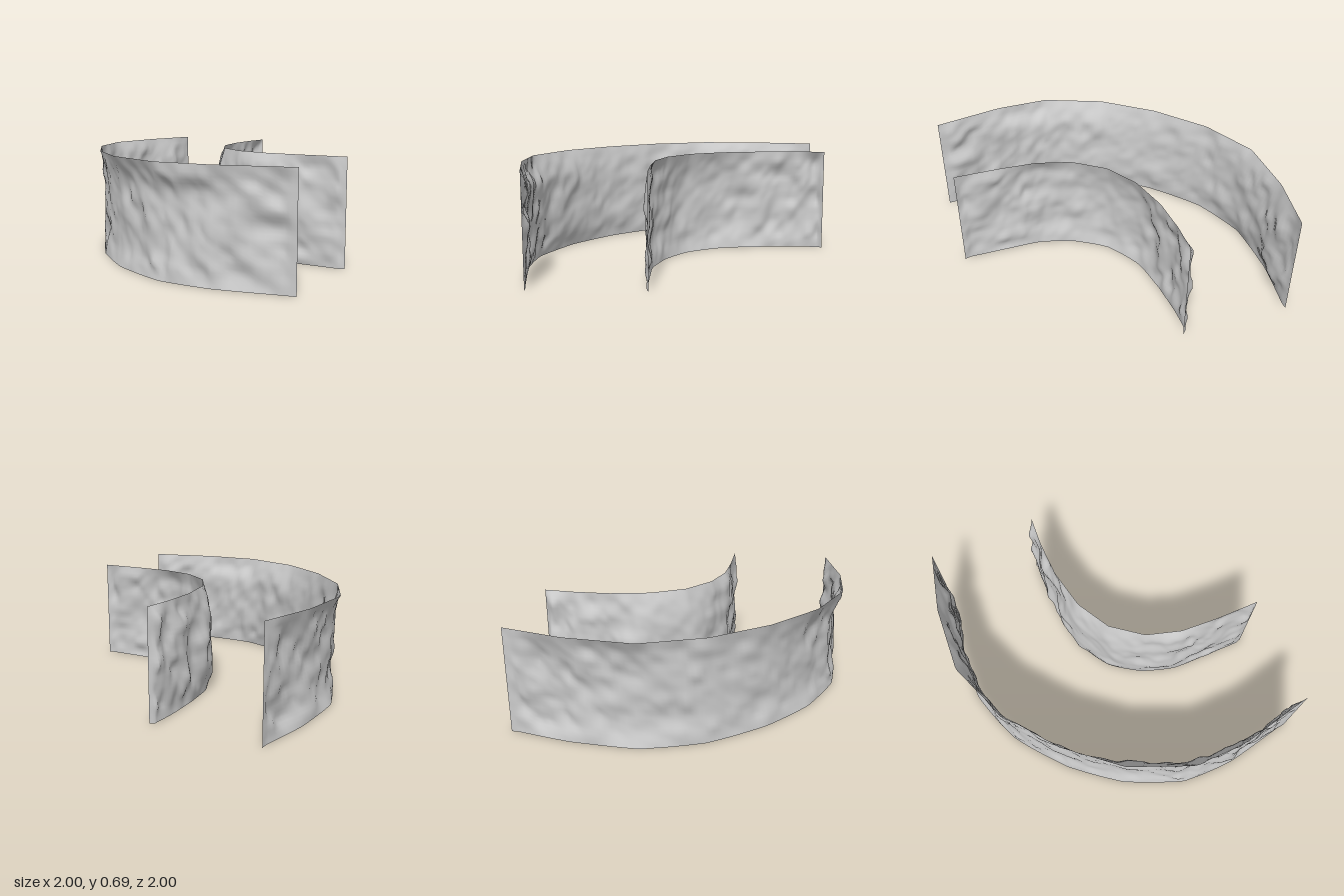
import * as THREE from 'three';

const HEIGHT = 0.695;
const COLS = 110;
const ROWS = 30;

// Seeded lattice value in -1..1
function hash(i, j, seed) {
  const s = Math.sin(i * 127.1 + j * 311.7 + seed * 74.7) * 43758.5453;
  return 2 * (s - Math.floor(s)) - 1;
}

// Smooth value noise
function noise(x, y, seed) {
  const i = Math.floor(x), j = Math.floor(y);
  const ease = (t) => t * t * (3 - 2 * t);
  const fx = ease(x - i), fy = ease(y - j);
  const low = THREE.MathUtils.lerp(hash(i, j, seed), hash(i + 1, j, seed), fx);
  const high = THREE.MathUtils.lerp(hash(i, j + 1, seed), hash(i + 1, j + 1, seed), fx);
  return THREE.MathUtils.lerp(low, high, fy);
}

const toVectors = (points) => points.map(([x, z]) => new THREE.Vector2(x, z));

// Point on a coarse straight-sided outline
function alongPolyline(points, u) {
  const t = u * (points.length - 1);
  const i = Math.min(Math.floor(t), points.length - 2);
  return points[i].clone().lerp(points[i + 1], t - i);
}

// Rock sheet: clean rim, foot and upright ends, rough face in between
function rockWall(name, { middle, rim, foot, rough, seed }) {
  const rimPoints = toVectors(rim);
  const midCurve = new THREE.SplineCurve(toVectors(middle));
  const length = midCurve.getLength();
  const positions = [], uvs = [], indices = [];

  for (let c = 0; c <= COLS; c++) {
    const u = c / COLS;
    const mid = midCurve.getPoint(u);
    const edge = alongPolyline(rimPoints, u);
    const tangent = midCurve.getTangent(u);
    const normal = new THREE.Vector2(-tangent.y, tangent.x);
    const endFade = Math.min(1, u * 30, (1 - u) * 30);
    // The bend is smoother than the two arms
    const relief = rough * endFade * (0.55 + 0.65 * Math.abs(2 * u - 1));

    for (let r = 0; r <= ROWS; r++) {
      const v = r / ROWS;
      const y = v * HEIGHT;
      const toRim = Math.pow(Math.max(0, (v - 0.65) / 0.35), 1.6);
      const toFoot = foot * Math.pow(Math.max(0, 1 - v / 0.3), 1.6);
      const edgeFade = Math.min(1, v * 8, (1 - v) * 8);
      const s = u * length + y * 0.1;
      const bump = 0.75 * noise(s * 7, y * 6, seed)
        + 0.5 * noise(s * 13, y * 11, seed + 3)
        + 0.15 * noise(s * 24, y * 20, seed + 7);
      const p = mid.clone().lerp(edge, Math.max(toRim + toFoot, 1 - endFade));
      p.addScaledVector(normal, bump * relief * edgeFade);
      positions.push(p.x, y, p.y);
      uvs.push(u, v);
    }
  }

  for (let c = 0; c < COLS; c++) {
    for (let r = 0; r < ROWS; r++) {
      const a = c * (ROWS + 1) + r, b = a + ROWS + 1;
      indices.push(a, b, a + 1, b, b + 1, a + 1);
    }
  }

  const geometry = new THREE.BufferGeometry();
  geometry.setAttribute('position', new THREE.Float32BufferAttribute(positions, 3));
  geometry.setAttribute('uv', new THREE.Float32BufferAttribute(uvs, 2));
  geometry.setIndex(indices);
  geometry.computeVertexNormals();
  const material = new THREE.MeshStandardMaterial({ color: 0xcccccc, side: THREE.DoubleSide });
  const mesh = new THREE.Mesh(geometry, material);
  mesh.name = name;
  return mesh;
}

export function createModel() {
  const group = new THREE.Group();
  group.name = 'curvedRockWalls';

  // Long wall, flaring outward at the rim and foot
  group.add(rockWall('outerWall', {
    middle: [[-0.87, -1], [-0.925, -0.6], [-0.925, -0.17], [-0.81, 0.21], [-0.53, 0.55],
      [-0.21, 0.78], [0.17, 0.935], [0.53, 0.955], [1, 0.86]],
    rim: [[-0.89, -1], [-0.98, -0.6], [-1, -0.16], [-0.84, 0.23], [-0.57, 0.57],
      [-0.24, 0.84], [0.16, 1], [0.53, 0.985], [1, 0.875]],
    foot: 0.55, rough: 0.03, seed: 1,
  }));

  // Short wall, bellied outward between a rim and foot that lean inward
  group.add(rockWall('innerWall', {
    middle: [[-0.215, -1], [-0.215, -0.8], [-0.195, -0.55], [-0.165, -0.28], [-0.01, -0.02],
      [0.21, 0.12], [0.45, 0.195], [0.7, 0.188], [1, 0.185]],
    rim: [[-0.165, -1], [-0.175, -0.8], [-0.165, -0.55], [-0.105, -0.28], [0.02, -0.06],
      [0.22, 0.09], [0.45, 0.155], [0.7, 0.165], [1, 0.16]],
    foot: 0.5, rough: 0.032, seed: 5,
  }));

  return group;
}
